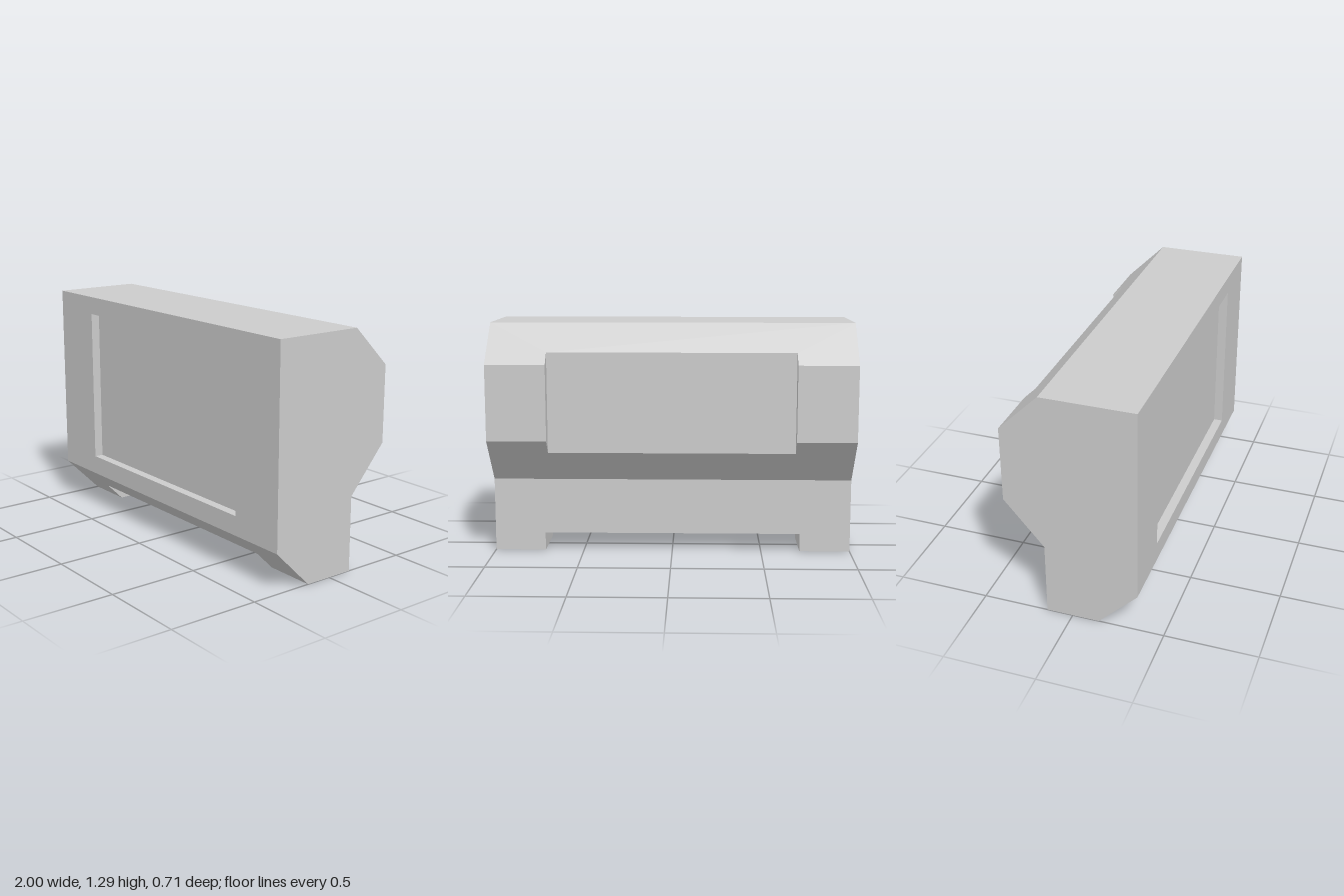
import * as THREE from 'three';
import { mergeGeometries } from 'three/addons/utils/BufferGeometryUtils.js';

const outline = (pts) => new THREE.Shape(pts.map(([x, y]) => new THREE.Vector2(x, y)));
const rect = (x0, x1, t0 = 0, t1 = 1) => outline([[x0, t0], [x1, t0], [x1, t1], [x0, t1]]);

// Strip outline with a centred notch of half width h cut into its start or end
const notchEnd = (h, t) => outline([[-1, 0], [1, 0], [1, 1], [h, 1], [h, t], [-h, t], [-h, 1], [-1, 1]]);
const notchStart = (h, t) => outline([[-1, 0], [-h, 0], [-h, t], [h, t], [h, 0], [1, 0], [1, 1], [-1, 1]]);

// Lay an (x, t) outline on the plane that runs from profile point p to q, both [z, y]
function face(p, q, shape) {
  const g = new THREE.ShapeGeometry(shape);
  const pos = g.attributes.position;
  for (let i = 0; i < pos.count; i++) {
    const t = pos.getY(i);
    pos.setXYZ(i, pos.getX(i), p[1] + (q[1] - p[1]) * t, p[0] + (q[0] - p[0]) * t);
  }
  g.computeVertexNormals();
  return g;
}

// Flat [z, y] polygon at x, facing +x (dir 1) or -x (dir -1)
function wall(pts, x, dir) {
  const g = new THREE.ShapeGeometry(outline(pts.map(([z, y]) => [-z * dir, y])));
  return g.rotateY(dir * Math.PI / 2).translate(x, 0, 0);
}

// Recess: floor faces along a path, plus the two inward-facing end walls
function recess(path, ends, half) {
  const parts = path.slice(1).map((q, i) => face(path[i], q, rect(-half, half)));
  parts.push(wall(ends, half, -1), wall(ends, -half, 1));
  return parts;
}

export function createModel() {
  const group = new THREE.Group();
  const material = new THREE.MeshStandardMaterial({ color: 0xcccccc, flatShading: true });
  const add = (name, parts) => {
    const mesh = new THREE.Mesh(mergeGeometries(parts), material);
    mesh.name = name;
    group.add(mesh);
  };

  // Side profile, from the lower front edge up, over the top and down the back
  const D = 0.357, H = 1.287;
  const P = [[D, 0.213], [D, H], [-0.143, H], [-D, 1.075], [-D, 0.66], [-0.143, 0.41], [-0.143, 0], [0.145, 0]];
  const backHalf = 0.675, footHalf = 0.718, backZ = -0.295, footY = 0.1;
  const screen = { half: 0.672, y0: 0.32, y1: 1.187, z: D - 0.05 };

  // Points where the recess floors meet the sloping faces
  const tUp = (P[2][0] - backZ) / (P[2][0] - P[3][0]);
  const tLow = (backZ - P[4][0]) / (P[5][0] - P[4][0]);
  const tFoot = footY / P[0][1];
  const backTop = [backZ, P[2][1] + (P[3][1] - P[2][1]) * tUp];
  const backLow = [backZ, P[4][1] + (P[5][1] - P[4][1]) * tLow];
  const footFront = [P[7][0] + (P[0][0] - P[7][0]) * tFoot, footY];
  const footBack = [P[6][0], footY];

  // Outer faces of the housing, one list of outlines per profile edge
  const t = (y) => (y - P[0][1]) / (H - P[0][1]);
  const front = rect(-1, 1);
  front.holes.push(rect(-screen.half, screen.half, t(screen.y0), t(screen.y1)));
  const pair = (h) => [rect(-1, -h), rect(h, 1)];
  const outlines = [
    [front],
    [rect(-1, 1)],
    [notchEnd(backHalf, tUp)],
    pair(backHalf),
    [notchStart(backHalf, tLow)],
    [notchEnd(footHalf, 1 - footY / P[5][1])],
    pair(footHalf),
    [notchStart(footHalf, tFoot)],
  ];
  const shell = outlines.flatMap((list, i) => list.map((s) => face(P[i], P[(i + 1) % 8], s)));
  add('housing', [...shell, wall(P, 1, 1), wall(P, -1, -1)]);

  // Shallow screen recess in the front
  const s = [[D, screen.y0], [screen.z, screen.y0], [screen.z, screen.y1], [D, screen.y1]];
  add('screenRecess', recess(s, s, screen.half));

  // Recess between the two back pads
  add('backRecess', recess([backTop, backLow], [backTop, P[3], P[4], backLow], backHalf));

  // Cut-out between the two feet
  add('footCutout', recess([footBack, footFront], [footBack, P[6], P[7], footFront], footHalf));

  return group;
}
